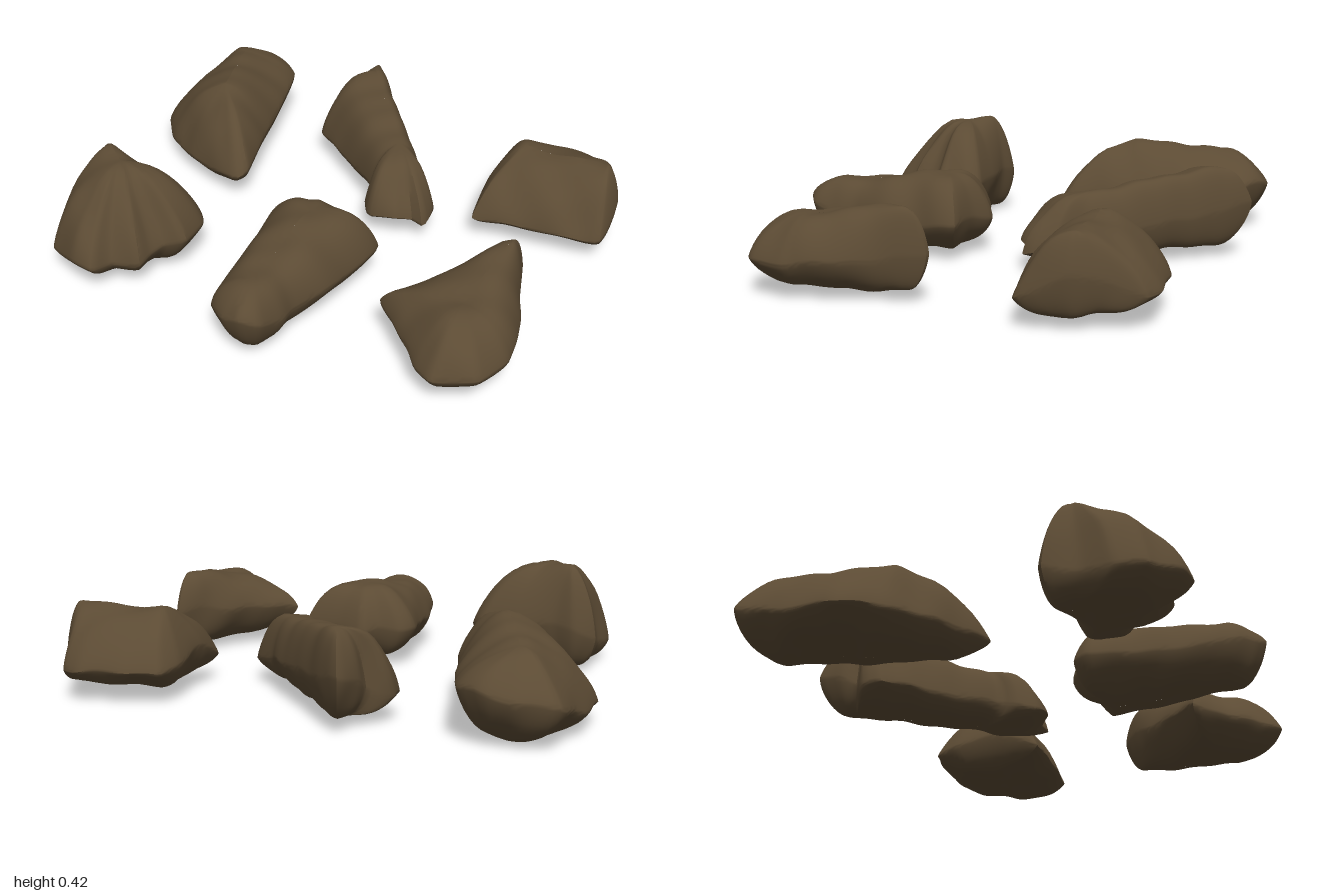
import * as THREE from 'three';
import { mergeVertices, toCreasedNormals } from 'three/addons/utils/BufferGeometryUtils.js';

const SPOKES = 96, RINGS = 12;

// Smooth lumps and dents, different for every offset
function lumps(x, y, z, o) {
  return 0.5 * Math.sin(13 * x + 7 * z + o) * Math.cos(11 * z - 9 * y + 2 * o)
    + 0.3 * Math.sin(27 * x - 16 * z + 14 * y + 3 * o)
    + 0.2 * Math.sin(38 * z + 21 * x + 5 * o);
}

// Rock skin: spokes run from a crest line out to the rim and back under to the keel
function rockGeometry({ rim, crest, low, p }, seed) {
  const points = rim.map(([x, z, y]) => new THREE.Vector3(x, y, z));
  const outline = new THREE.CatmullRomCurve3(points, true, 'catmullrom', 0.2).getSpacedPoints(SPOKES).slice(0, SPOKES);
  const [a, b] = crest.map(([x, z, y]) => new THREE.Vector3(x, y, z));
  const dx = b.x - a.x, dz = b.z - a.z, len2 = dx * dx + dz * dz;
  const pos = [], index = [], rows = RINGS * 2;

  for (let k = 0; k <= rows; k++) {
    const top = k <= RINGS;
    const t = Math.sin((k / rows) * Math.PI);
    for (const e of outline) {
      const s = THREE.MathUtils.clamp(((e.x - a.x) * dx + (e.z - a.z) * dz) / len2, 0, 1);
      const q = a.clone().lerp(b, s);
      const peak = top ? q.y : low;
      const f = Math.pow(Math.max(0, 1 - Math.pow(t, top ? p : 2.8)), top ? 0.8 : 0.75);
      const x = q.x + (e.x - q.x) * t, z = q.z + (e.z - q.z) * t;
      const y = e.y + (peak - e.y) * f;
      const n = lumps(x, y, z, seed);
      pos.push(x + 0.008 * n * t, Math.max(0, y + 0.014 * n), z + 0.008 * n * t);
    }
  }
  for (let k = 0; k < rows; k++) {
    for (let i = 0; i < SPOKES; i++) {
      const j = (i + 1) % SPOKES, u = k * SPOKES, v = u + SPOKES;
      index.push(u + i, v + j, v + i, u + i, u + j, v + j);
    }
  }
  const g = new THREE.BufferGeometry();
  g.setAttribute('position', new THREE.Float32BufferAttribute(pos, 3));
  g.setIndex(index);
  return toCreasedNormals(mergeVertices(g, 1e-4), 0.75);
}

// rim: [x, z, y] clockwise from above; crest: two ends of the top ridge;
// low: underside height; p: higher for a flatter top
const ROCKS = {
  backRightRock: {
    rim: [[-0.92, -0.81, 0.17], [-0.8, -0.865, 0.18], [-0.68, -0.86, 0.2], [-0.58, -0.78, 0.2], [-0.52, -0.5, 0.18],
      [-0.49, -0.3, 0.16], [-0.445, -0.08, 0.14], [-0.48, -0.035, 0.12], [-0.6, -0.07, 0.11], [-0.75, -0.14, 0.1],
      [-0.9, -0.25, 0.08], [-1, -0.4, 0.08], [-0.97, -0.65, 0.1]],
    crest: [[-0.77, -0.68, 0.32], [-0.67, -0.32, 0.36]], low: 0.02, p: 1.8,
  },
  backMiddleRock: {
    rim: [[-0.2, -0.86, 0.22], [-0.11, -0.76, 0.19], [-0.02, -0.63, 0.17], [0.16, -0.4, 0.14], [0.22, -0.3, 0.13],
      [0.315, -0.2, 0.1], [0.315, -0.09, 0.08], [0.26, -0.1, 0.09], [0.2, -0.06, 0.1], [0.1, -0.05, 0.1],
      [0.05, -0.13, 0.11], [0.05, -0.2, 0.12], [-0.07, -0.31, 0.12], [-0.2, -0.42, 0.11], [-0.33, -0.53, 0.1],
      [-0.33, -0.61, 0.1], [-0.25, -0.67, 0.14], [-0.25, -0.75, 0.18]],
    crest: [[-0.16, -0.71, 0.35], [0.12, -0.3, 0.29]], low: 0.05, p: 2.8,
  },
  backLeftRock: {
    rim: [[0.48, -0.56, 0.15], [0.52, -0.66, 0.13], [0.66, -0.695, 0.13], [0.82, -0.69, 0.13], [0.9, -0.65, 0.13],
      [0.93, -0.55, 0.17], [0.99, -0.42, 0.2], [0.99, -0.3, 0.14], [0.97, -0.23, 0.11], [0.8, -0.21, 0.11],
      [0.6, -0.2, 0.11], [0.48, -0.19, 0.11], [0.478, -0.35, 0.18]],
    crest: [[0.6, -0.44, 0.325], [0.93, -0.43, 0.335]], low: 0.05, p: 1.7,
  },
  frontRightRock: {
    rim: [[-0.91, 0.29, 0.13], [-0.82, 0.26, 0.18], [-0.74, 0.29, 0.2], [-0.6, 0.29, 0.19], [-0.45, 0.3, 0.17],
      [-0.41, 0.35, 0.16], [-0.41, 0.48, 0.16], [-0.48, 0.52, 0.15], [-0.51, 0.57, 0.13], [-0.52, 0.64, 0.12],
      [-0.62, 0.67, 0.12], [-0.66, 0.74, 0.12], [-0.75, 0.73, 0.13], [-0.89, 0.65, 0.1], [-0.93, 0.55, 0.09],
      [-0.9, 0.42, 0.1]],
    crest: [[-0.79, 0.36, 0.42], [-0.7, 0.43, 0.42]], low: 0.015, p: 1.9,
  },
  frontMiddleRock: {
    rim: [[-0.195, 0.23, 0.16], [-0.15, 0.17, 0.16], [-0.06, 0.16, 0.17], [0, 0.12, 0.15], [0.1, 0.16, 0.16],
      [0.245, 0.19, 0.15], [0.23, 0.3, 0.14], [0.18, 0.5, 0.14], [0.12, 0.65, 0.14], [0.12, 0.72, 0.15],
      [0.08, 0.83, 0.18], [0.02, 0.865, 0.21], [-0.06, 0.84, 0.18], [-0.15, 0.76, 0.15], [-0.17, 0.6, 0.14],
      [-0.18, 0.4, 0.14]],
    crest: [[0.02, 0.29, 0.32], [-0.01, 0.71, 0.27]], low: 0.03, p: 3,
  },
  frontLeftRock: {
    rim: [[0.38, 0.49, 0.15], [0.48, 0.41, 0.17], [0.6, 0.28, 0.18], [0.7, 0.17, 0.2], [0.78, 0.11, 0.18],
      [0.81, 0.22, 0.17], [0.87, 0.4, 0.15], [0.9, 0.6, 0.14], [0.84, 0.74, 0.14], [0.7, 0.8, 0.14],
      [0.62, 0.75, 0.13], [0.57, 0.69, 0.13], [0.45, 0.56, 0.14]],
    crest: [[0.76, 0.21, 0.34], [0.71, 0.55, 0.29]], low: 0.04, p: 2.5,
  },
};

export function createModel() {
  const group = new THREE.Group();
  group.name = 'rocks';
  const stone = new THREE.MeshStandardMaterial({ color: 0x5c4b34 });
  stone.name = 'brownStone';
  Object.entries(ROCKS).forEach(([name, spec], i) => {
    const mesh = new THREE.Mesh(rockGeometry(spec, 1.7 * i + 0.6), stone);
    mesh.name = name;
    group.add(mesh);
  });
  return group;
}
